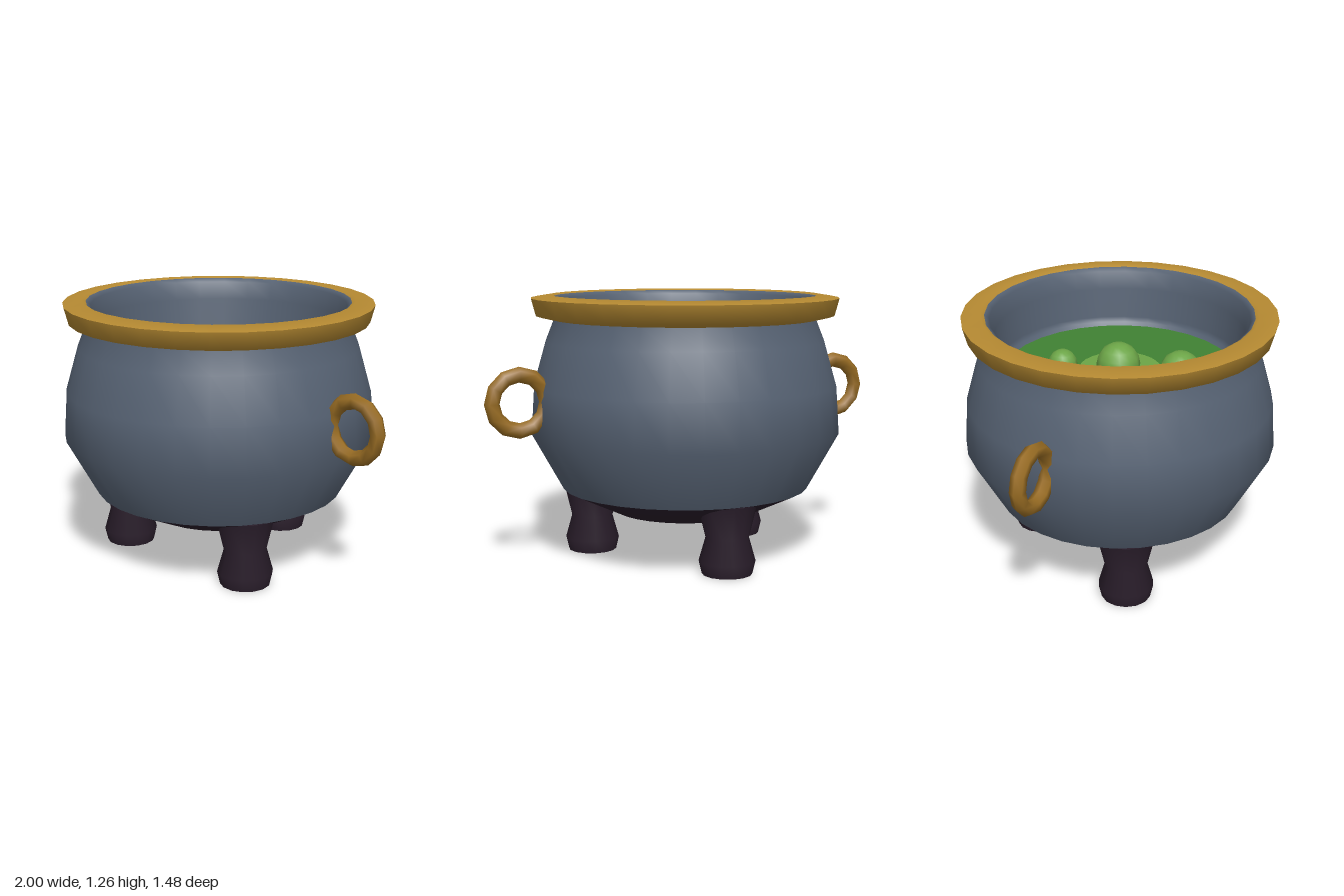
import * as THREE from 'three';
import { toCreasedNormals } from 'three/addons/utils/BufferGeometryUtils.js';

const SEGMENTS = 30;

function material(name, color) {
  const m = new THREE.MeshStandardMaterial({ color });
  m.name = name;
  return m;
}

function add(parent, name, geometry, mat, x = 0, y = 0, z = 0) {
  const mesh = new THREE.Mesh(geometry, mat);
  mesh.name = name;
  mesh.position.set(x, y, z);
  parent.add(mesh);
  return mesh;
}

// Profile points are [radius, height], running up the outside; a corner lies on the x axis
function lathe(profile, segments = SEGMENTS, crease = 0) {
  const points = profile.map(([r, y]) => new THREE.Vector2(r, y));
  const g = new THREE.LatheGeometry(points, segments, Math.PI / 2);
  return crease ? toCreasedNormals(g, crease) : g;
}

export function createModel() {
  const model = new THREE.Group();
  model.name = 'cauldron';

  const iron = material('blue grey iron', 0x576374);
  const dark = material('dark iron', 0x2a1e2b);
  const gold = material('gold', 0xb68a32);
  const bronze = material('bronze', 0x986c23);
  const green = material('green brew', 0x408233);
  const foam = material('light green foam', 0x6ca547);
  const bubble = material('bubble green', 0x6ca547);

  // Pot: outer wall, inner wall with a ledge at the brew, and base
  add(model, 'potWall', lathe([
    [0.595, 0.333], [0.745, 0.605], [0.73, 0.83], [0.67, 1.04], [0.63, 1.14], [0.635, 1.2],
  ]), iron);
  add(model, 'potInside', lathe([
    [0.64, 1.25], [0.628, 1.252], [0.606, 1.235], [0.59, 1.15], [0.578, 1.0], [0.57, 0.975], [0.55, 0.955],
  ]), iron);
  add(model, 'potBase', lathe([[0, 0.215], [0.345, 0.215], [0.595, 0.333]]), dark);

  // Rim band
  add(model, 'rim', lathe([
    [0.615, 1.14], [0.715, 1.163], [0.737, 1.245], [0.645, 1.26], [0.628, 1.252],
  ], SEGMENTS, 1.2), gold);

  // Brew, foam patch and bubbles
  const disc = (r) => new THREE.CircleGeometry(r, SEGMENTS).rotateX(-Math.PI / 2);
  add(model, 'brew', disc(0.56), green, 0, 0.96, 0);
  add(model, 'foam', disc(0.195), foam, 0, 0.966, 0);
  for (const [x, z, r] of [[0.02, -0.018, 0.105], [-0.095, -0.257, 0.07], [0.068, 0.283, 0.1]]) {
    add(model, 'bubble', new THREE.SphereGeometry(r, 12, 8), bubble, x, 0.978, z);
  }

  // Ring handles on both sides
  for (const side of [1, -1]) {
    const name = side > 0 ? 'leftHandle' : 'rightHandle';
    add(model, name, new THREE.TorusGeometry(0.13, 0.0365, 6, 12), bronze, side * 0.833, 0.78, 0);
  }

  // Three feet, one at the back
  const foot = lathe([
    [0, 0], [0.117, 0], [0.131, 0.06], [0.1, 0.17], [0.138, 0.33], [0, 0.33],
  ], 14, 0.9);
  for (let i = 0; i < 3; i++) {
    const a = Math.PI + (i * Math.PI * 2) / 3;
    add(model, 'foot', foot, dark, Math.sin(a) * 0.462, 0, Math.cos(a) * 0.462);
  }

  return model;
}
